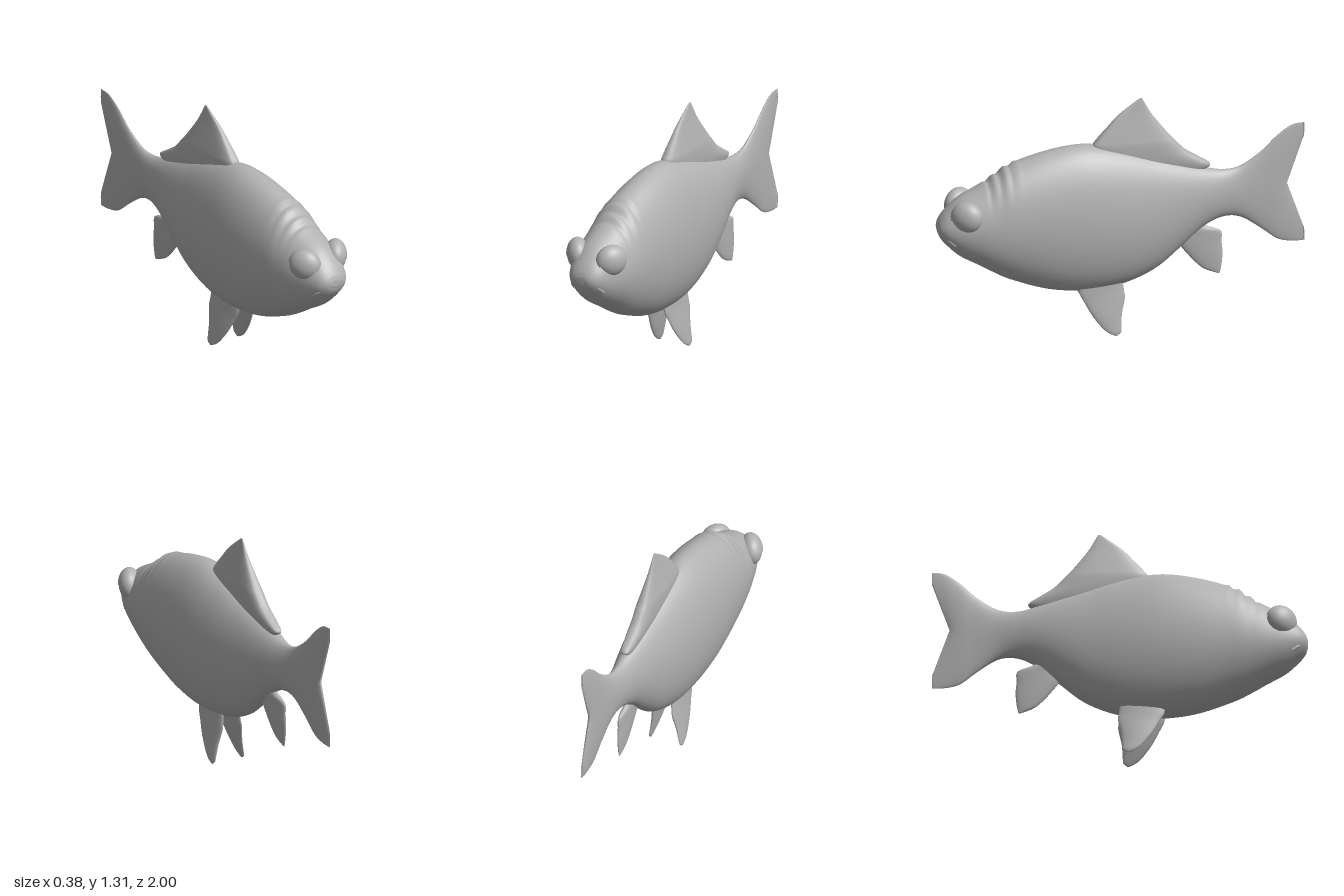
import * as THREE from 'three';

const skin = new THREE.MeshStandardMaterial({ color: 0xb2b2b2, side: THREE.DoubleSide });
skin.name = 'grey skin';

// Smoothly subdivide rows of section measurements
function sample(rows, sub) {
  const width = rows[0].length;
  const curve = new THREE.CubicInterpolant(rows.map((_, i) => i), rows.flat(), width);
  const out = [];
  for (let i = 0; i <= (rows.length - 1) * sub; i++) out.push(Array.from(curve.evaluate(i / sub)));
  return out;
}

// Skin a list of closed rings and close both ends
function loft(name, rings) {
  const n = rings[0].length, last = rings.length - 1;
  const pos = rings.flat().flatMap(p => [p.x, p.y, p.z]);
  const index = [];
  for (let i = 0; i < last; i++) for (let j = 0; j < n; j++) {
    const k = (j + 1) % n, a = i * n + j, b = i * n + k;
    index.push(a, b, a + n, b, b + n, a + n);
  }
  [0, last].forEach((r, e) => {
    const a = rings[r][n / 4], b = rings[r][3 * n / 4];
    const pole = pos.length / 3;
    pos.push((a.x + b.x) / 2, (a.y + b.y) / 2, (a.z + b.z) / 2);
    for (let j = 0; j < n; j++) {
      const p = r * n + j, q = r * n + (j + 1) % n;
      index.push(pole, ...(e ? [p, q] : [q, p]));
    }
  });
  const geo = new THREE.BufferGeometry();
  geo.setAttribute('position', new THREE.Float32BufferAttribute(pos, 3));
  geo.setIndex(index);
  geo.computeVertexNormals();
  const mesh = new THREE.Mesh(geo, skin);
  mesh.name = name;
  return mesh;
}

const ringOf = (n, fn) => Array.from({ length: n }, (_, j) => {
  const a = j / n * Math.PI * 2;
  return fn(Math.sin(a), Math.cos(a));
});

// Body and tail sections: z, top, bottom, half width
const BODY = [
  [0.998, 0.69, 0.655, 0.035], [0.985, 0.722, 0.617, 0.068], [0.95, 0.768, 0.572, 0.1],
  [0.88, 0.832, 0.506, 0.13], [0.78, 0.885, 0.447, 0.156], [0.7, 0.93, 0.398, 0.169],
  [0.6, 0.995, 0.345, 0.18], [0.4, 1.055, 0.273, 0.19], [0.2, 1.077, 0.247, 0.186],
  [0, 1.038, 0.265, 0.166], [-0.18, 0.98, 0.335, 0.136], [-0.32, 0.935, 0.445, 0.108],
  [-0.44, 0.895, 0.548, 0.08], [-0.55, 0.868, 0.597, 0.054], [-0.65, 0.88, 0.588, 0.037],
  [-0.76, 0.95, 0.515, 0.027], [-0.85, 1.035, 0.445, 0.022], [-0.93, 1.09, 0.423, 0.015],
  [-1, 1.1, 0.422, 0.005],
];

function body() {
  const rings = sample(BODY, 8).map(([z, top, bottom, w]) => {
    const c = (top + bottom) / 2, h = (top - bottom) / 2;
    // tail fork pulls the middle of the rear sections forward
    const fork = 0.095 * Math.max(0, (-0.75 - z) / 0.25) ** 2;
    // brow wrinkles
    const brow = z > 0.56 && z < 0.74 ? 0.009 * Math.sin((z - 0.56) / 0.06 * Math.PI * 2) : 0;
    return ringOf(48, (s, t) => new THREE.Vector3(
      w * s,
      c + h * t + brow * Math.max(0, t) ** 3,
      z + fork * Math.max(0, 1 - Math.abs(t) / 0.8)));
  });
  return loft('body', rings);
}

// Fin sections from top to bottom: y, front z, back z, half thickness, centre x
function fin(name, rows, side = 1, power = 1) {
  const bulge = v => Math.sign(v) * Math.abs(v) ** power;
  return loft(name, sample(rows, 5).map(([y, f, b, w, x]) => ringOf(24, (s, t) =>
    new THREE.Vector3(side * x - w * bulge(s), y, (f + b) / 2 + (f - b) / 2 * bulge(t)))));
}

const DORSAL = [
  [1.315, -0.1, -0.118, 0.003, 0], [1.23, 0.01, -0.165, 0.016, 0], [1.16, 0.075, -0.215, 0.029, 0],
  [1.1, 0.128, -0.262, 0.04, 0], [1.06, 0.15, -0.298, 0.046, 0], [1, 0.1, -0.355, 0.046, 0],
  [0.95, 0, -0.43, 0.042, 0], [0.91, -0.08, -0.488, 0.034, 0], [0.88, -0.15, -0.46, 0.025, 0],
];
const PELVIC = [
  [0.3, 0.24, 0.0, 0.02, 0.048], [0.245, 0.235, -0.007, 0.018, 0.054], [0.2, 0.213, -0.01, 0.017, 0.06],
  [0.12, 0.17, 0.008, 0.015, 0.073], [0.05, 0.118, 0.013, 0.01, 0.085], [0.02, 0.085, 0.016, 0.007, 0.09],
  [0.002, 0.052, 0.035, 0.003, 0.092],
];
const ANAL = [
  [0.59, -0.3, -0.42, 0.022, 0], [0.55, -0.29, -0.47, 0.022, 0], [0.518, -0.29, -0.545, 0.02, 0],
  [0.455, -0.322, -0.55, 0.018, 0], [0.4, -0.363, -0.555, 0.016, 0], [0.35, -0.405, -0.553, 0.013, 0],
  [0.305, -0.455, -0.547, 0.009, 0], [0.275, -0.525, -0.54, 0.003, 0],
];

// Bulging eye with a heavy upper lid, facing outward and forward
function eye(side) {
  const g = new THREE.Group();
  g.name = side > 0 ? 'leftEye' : 'rightEye';
  const ball = new THREE.Mesh(new THREE.SphereGeometry(0.96, 32, 24), skin);
  ball.name = 'eyeball';
  const lid = new THREE.Mesh(new THREE.SphereGeometry(1.03, 32, 16, 0, Math.PI * 2, 0, Math.PI / 2), skin);
  lid.name = 'eyelid';
  lid.rotation.x = 0.2;
  g.add(ball, lid);
  g.scale.set(0.06, 0.086, 0.088);
  g.rotation.y = -0.585 * side;
  g.position.set(0.105 * side, 0.758, 0.858);
  return g;
}

// Down-turned lip
function mouth() {
  const path = new THREE.CatmullRomCurve3([
    [-0.09, 0.595, 0.915], [-0.081, 0.622, 0.945], [-0.05, 0.648, 0.973], [0, 0.654, 0.988],
    [0.05, 0.648, 0.973], [0.081, 0.622, 0.945], [0.09, 0.595, 0.915],
  ].map(p => new THREE.Vector3(...p)));
  const mesh = new THREE.Mesh(new THREE.TubeGeometry(path, 40, 0.011, 10), skin);
  mesh.name = 'mouth';
  return mesh;
}

export function createModel() {
  const model = new THREE.Group();
  model.name = 'fish';
  model.add(body(), mouth(), fin('dorsalFin', DORSAL, 1, 0.6), fin('analFin', ANAL));
  for (const side of [1, -1]) {
    model.add(eye(side), fin(side > 0 ? 'leftPelvicFin' : 'rightPelvicFin', PELVIC, side));
  }
  return model;
}
